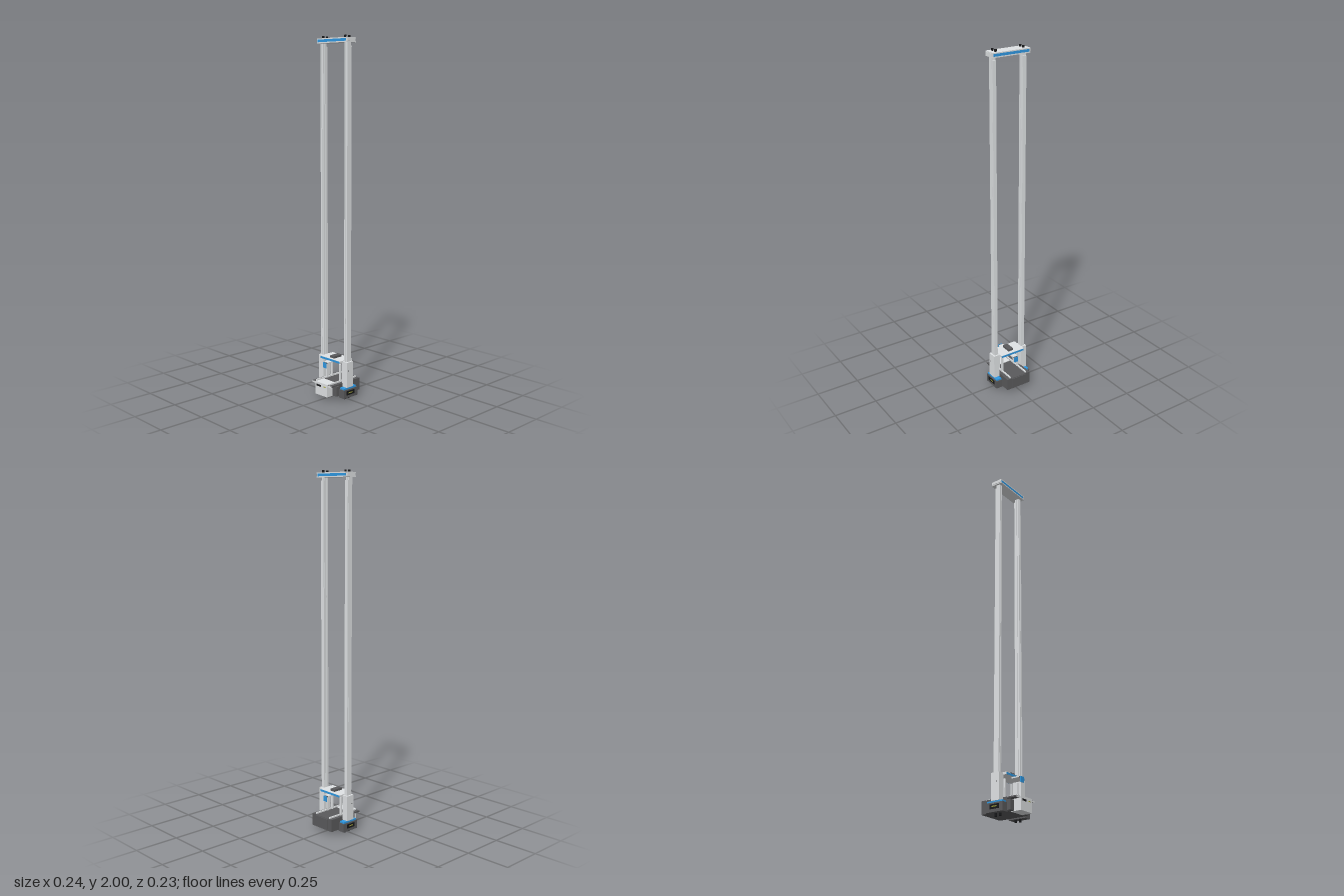
import * as THREE from 'three';

const mat = (name, color) => {
  const m = new THREE.MeshStandardMaterial({ color });
  m.name = name;
  return m;
};

export function createModel() {
  const light = mat('light grey', 0xe0e3e5);
  const dark = mat('dark grey', 0x5a5a5c);
  const blue = mat('blue', 0x2f98e2);
  const black = mat('black', 0x17181a);
  const olive = mat('olive', 0xa8a83c);
  const root = new THREE.Group();

  // Box given by its limits on each axis
  const box = (name, m, x0, x1, y0, y1, z0, z1, parent = root) => {
    const mesh = new THREE.Mesh(new THREE.BoxGeometry(x1 - x0, y1 - y0, z1 - z0), m);
    mesh.position.set((x0 + x1) / 2, (y0 + y1) / 2, (z0 + z1) / 2);
    mesh.name = name;
    parent.add(mesh);
    return mesh;
  };
  const cyl = (name, m, r, h, x, y, z) => {
    const mesh = new THREE.Mesh(new THREE.CylinderGeometry(r, r, h, 12), m);
    mesh.position.set(x, y, z);
    mesh.name = name;
    root.add(mesh);
    return mesh;
  };

  // Column profile: plain outer face, slots in the front, back and inner faces
  const w = 0.011, d = 0.0125, s = 0.002, g = 0.004;
  const profile = new THREE.Shape([
    [-w, -d], [-s, -d], [-s, -d + g], [s, -d + g], [s, -d], [w, -d],
    [w, d], [s, d], [s, d - g], [-s, d - g], [-s, d], [-w, d],
    [-w, s], [-w + g, s], [-w + g, -s], [-w, -s],
  ].map(([x, y]) => new THREE.Vector2(x, y)));
  const columnGeo = new THREE.ExtrudeGeometry(profile, { depth: 1.943, bevelEnabled: false });
  columnGeo.rotateX(-Math.PI / 2);

  for (const side of [-1, 1]) {
    const column = new THREE.Mesh(columnGeo, light);
    column.name = 'column';
    column.position.set(side * 0.093, 0.02, 0.0035);
    column.rotation.y = side < 0 ? Math.PI : 0;
    root.add(column);
    const k = side * 0.093;
    box('guideStrip', light, k - 0.0105, k + 0.0105, 0.07, 1.945, -0.0165, -0.009);

    // Bolts above the crossbeam and below the base
    for (const z of [-0.015, 0.013]) {
      cyl('topBolt', black, 0.0065, 0.012, side * 0.085, 1.994, z);
      cyl('bottomBolt', black, 0.0065, 0.016, side * 0.085, 0.008, z);
    }

    // Carriage side housing
    const c = side * 0.094;
    box('sideHousing', light, c - 0.019, c + 0.019, 0.074, 0.218, -0.025, 0.025);
    cyl('housingScrew', dark, 0.003, 0.002, side * 0.1135, 0.17, 0.012).rotation.z = Math.PI / 2;

    // End wing of the base with its lid and panel
    const e = side * 0.0965;
    box('endWing', dark, e - 0.02, e + 0.02, 0.016, 0.064, -0.055, 0.05);
    box('endLid', blue, e - 0.016, e + 0.016, 0.064, 0.073, -0.05, 0.045);
    const p = side * 0.117;
    box('endPanel', black, p - 0.0008, p + 0.0008, 0.032, 0.056, -0.03, 0.03);
    const q = side * 0.1181;
    box('endMark', olive, q - 0.0004, q + 0.0004, 0.042, 0.047, -0.016, 0.016);

    // Uprights and deck rails
    const r = side * 0.054;
    for (const z of [-0.018, 0.018])
      box('upright', light, r - 0.006, r + 0.006, 0.09, 0.195, z - 0.004, z + 0.004);
    box('deckRail', light, r - 0.0035, r + 0.0035, 0.093, 0.101, -0.106, 0.102);

    // Crossbeam end cap
    const b = side * 0.1155;
    box('beamEndCap', light, b - 0.0015, b + 0.0015, 1.968, 1.984, -0.03, 0.028);
  }

  // Crossbeam: a core with overhanging flanges and stripes between them
  box('beamCore', light, -0.114, 0.114, 1.966, 1.984, -0.034, 0.03);
  box('beamTopFlange', light, -0.114, 0.114, 1.982, 1.988, -0.037, 0.033);
  box('beamBottomFlange', light, -0.114, 0.114, 1.962, 1.968, -0.037, 0.033);
  box('frontBeamStripe', blue, -0.108, 0.108, 1.968, 1.982, 0.03, 0.0325);
  box('backBeamStripe', blue, -0.108, 0.108, 1.968, 1.982, -0.0365, -0.034);

  // Base body, deck and cabinets
  box('baseBody', dark, -0.078, 0.078, 0.023, 0.085, -0.112, 0.05);
  box('baseFront', dark, -0.078, 0.078, 0.025, 0.08, 0.05, 0.07);
  box('deck', dark, -0.078, 0.078, 0.085, 0.093, -0.112, 0.108);
  box('deckEdge', light, -0.078, 0.078, 0.082, 0.092, 0.1075, 0.1085);
  box('backPlate', dark, -0.047, 0.047, 0.03, 0.09, -0.117, -0.112);
  box('frontCabinet', light, -0.047, 0.047, 0.023, 0.096, 0.05, 0.113);
  box('display', black, -0.036, -0.002, 0.073, 0.083, 0.113, 0.115);
  box('frontMark', olive, 0.018, 0.032, 0.076, 0.081, 0.113, 0.115);

  // Carriage bridge with coloured long faces
  box('bridge', light, -0.078, 0.078, 0.209, 0.222, -0.05, 0.045);
  box('bridgeFrontFace', blue, -0.077, 0.077, 0.209, 0.2205, 0.045, 0.0456);
  box('bridgeBackFace', blue, -0.077, 0.077, 0.209, 0.2205, -0.0506, -0.05);
  box('bridgeMotor', dark, -0.016, 0.016, 0.222, 0.234, -0.03, 0.03);

  // Hooked arms reaching front and back
  for (const f of [-1, 1]) {
    const arm = new THREE.Group();
    arm.name = 'hookArm';
    arm.rotation.y = f < 0 ? Math.PI : 0;
    box('armPlate', light, -0.015, 0.015, 0.202, 0.209, 0.03, 0.077, arm);
    box('armTip', dark, -0.012, 0.012, 0.202, 0.207, 0.077, 0.084, arm);
    box('hookPlate', blue, -0.013, 0.013, 0.177, 0.207, 0.084, 0.088, arm);
    root.add(arm);
  }
  return root;
}
